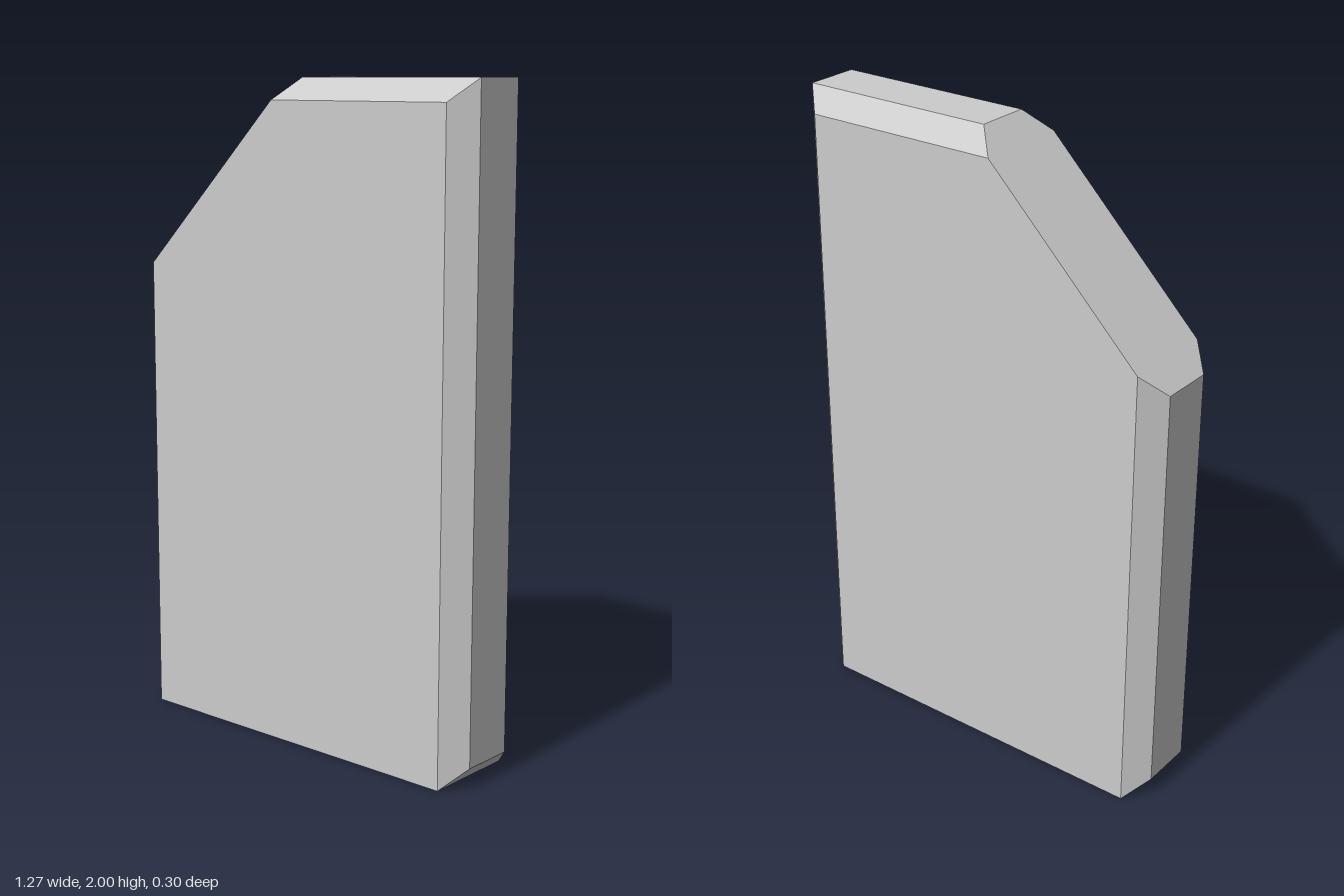
import * as THREE from 'three';
import { ConvexGeometry } from 'three/addons/geometries/ConvexGeometry.js';

export function createModel() {
  const group = new THREE.Group();
  const w = 0.633, h = 2, d = 0.15; // half width, height, half depth
  const b = 0.065;                  // bevel size
  const cut = 1.367;                // height where the slanted corner starts

  // Broad faces, inset by the bevel but flush with the ground
  const face = [
    [-w + b, 0], [w - b, 0], [w - b, h - b],
    [cut - h + w - b, h - b], [-w + b, cut + b],
  ];
  // Outer rim between the bevels
  const rim = [
    [-w, b], [w, b], [w, h], [cut - h + w, h], [-w, cut],
  ];

  const points = [];
  for (const side of [1, -1]) {
    for (const [x, y] of face) points.push(new THREE.Vector3(x, y, side * d));
    for (const [x, y] of rim) points.push(new THREE.Vector3(x, y, side * (d - b)));
  }

  const slab = new THREE.Mesh(
    new ConvexGeometry(points),
    new THREE.MeshStandardMaterial({ color: 0xcccccc, flatShading: true })
  );
  slab.name = 'bevelledSlab';
  group.add(slab);
  return group;
}
